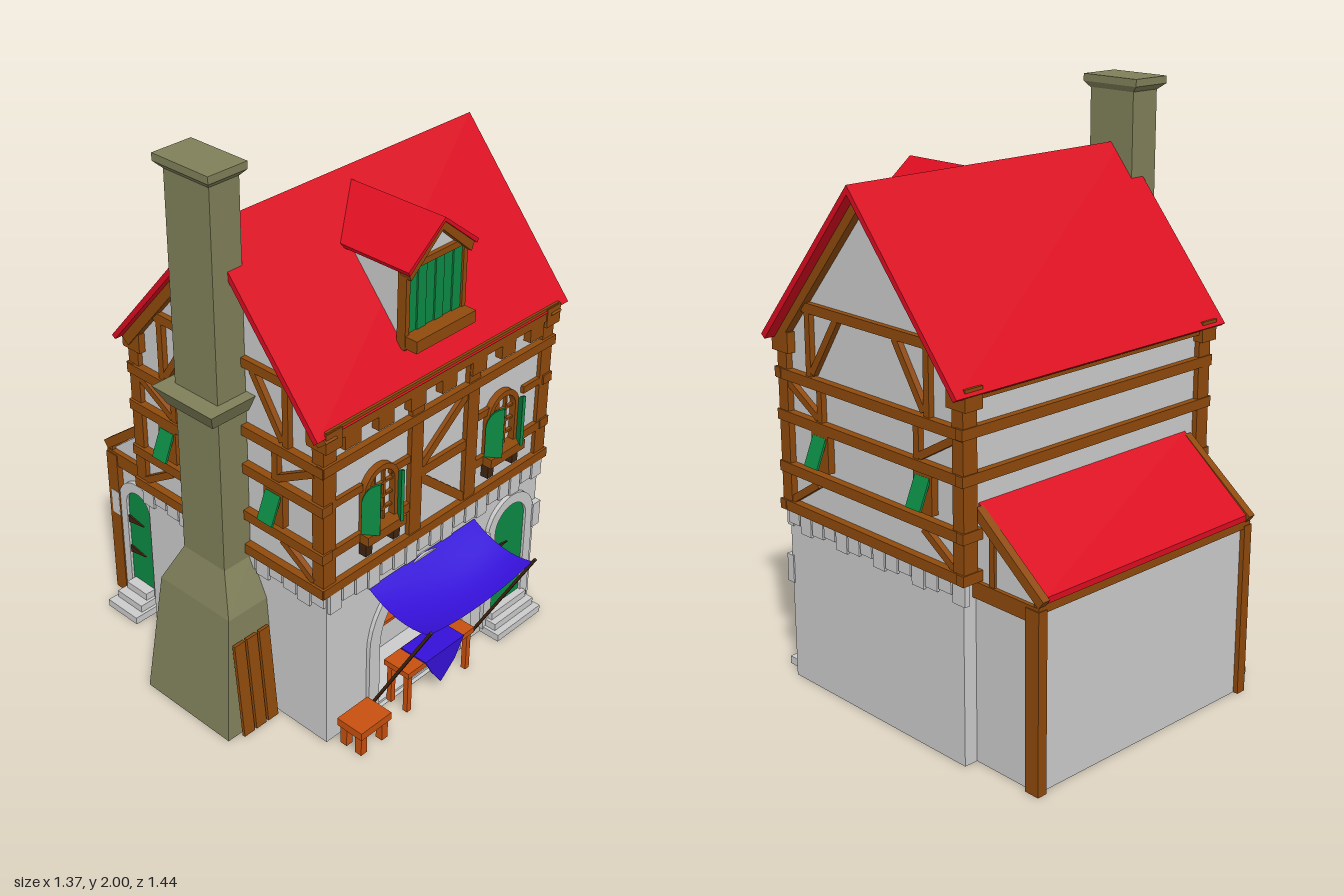
import * as THREE from 'three';

const mat = (color) => new THREE.MeshStandardMaterial({ color, side: THREE.DoubleSide });
const GREY = mat(0xcccccc), WOOD = mat(0x8f4a0c), RED = mat(0xdc0c20), GREEN = mat(0x0c8a44),
  BLUE = mat(0x3510d8), OLIVE = mat(0x80805a), ORANGE = mat(0xc8500f), DARK = mat(0x3f2410);

function add(parent, name, geo, material) {
  const m = new THREE.Mesh(geo, material);
  m.name = name;
  parent.add(m);
  return m;
}

// Box given by its min and max on each axis
function box(parent, name, material, x0, x1, y0, y1, z0, z1) {
  const m = add(parent, name, new THREE.BoxGeometry(x1 - x0, y1 - y0, z1 - z0), material);
  m.position.set((x0 + x1) / 2, (y0 + y1) / 2, (z0 + z1) / 2);
  return m;
}

// Square beam from a to b, with thickness t along the normal n
function beam(parent, name, material, a, b, w, t, n) {
  const A = new THREE.Vector3(...a), B = new THREE.Vector3(...b), N = new THREE.Vector3(...n);
  const dir = B.clone().sub(A), len = dir.length();
  dir.normalize();
  const m = add(parent, name, new THREE.BoxGeometry(w, len, t), material);
  m.quaternion.setFromRotationMatrix(new THREE.Matrix4().makeBasis(dir.clone().cross(N), dir, N));
  m.position.copy(A.add(B).multiplyScalar(0.5));
  return m;
}

const poly = (pts) => new THREE.Shape(pts.map((p) => new THREE.Vector2(...p)));
const extrude = (shape, z0, z1) => new THREE.ExtrudeGeometry(shape,
  { depth: z1 - z0, bevelEnabled: false, curveSegments: 10 }).translate(0, 0, z0);
// Profile drawn in (z, y), swept along x
const sweepX = (pts, x0, x1) => extrude(poly(pts), 0, x1 - x0).rotateY(-Math.PI / 2).translate(x1, 0, 0);

// Round-topped opening outline
function arch(hw, y0, spring, cx = 0, T = THREE.Shape) {
  const s = new T();
  s.moveTo(cx - hw, y0).lineTo(cx + hw, y0).lineTo(cx + hw, spring);
  s.absarc(cx, spring, hw, 0, Math.PI, false);
  s.lineTo(cx - hw, y0);
  return s;
}
function archRing(outer, inner, y0, spring, z0, z1) {
  const s = arch(outer, y0, spring);
  s.holes.push(arch(inner, y0 + 0.001, spring, 0, THREE.Path));
  return extrude(s, z0, z1);
}

// Rectangular cross-sections [y, x0, x1, z0, z1] joined upwards
function loft(levels) {
  const v = [], rings = levels.map(([y, x0, x1, z0, z1]) => [[x0, y, z1], [x1, y, z1], [x1, y, z0], [x0, y, z0]]);
  const quad = (a, b, c, d) => v.push(...a, ...b, ...c, ...a, ...c, ...d);
  for (let i = 0; i + 1 < rings.length; i++)
    for (let k = 0; k < 4; k++) {
      const n = (k + 1) % 4;
      quad(rings[i][k], rings[i][n], rings[i + 1][n], rings[i + 1][k]);
    }
  quad(...rings.at(-1));
  quad(...rings[0].slice().reverse());
  const g = new THREE.BufferGeometry();
  g.setAttribute('position', new THREE.Float32BufferAttribute(v, 3));
  g.computeVertexNormals();
  return g;
}

// Arched door with stone surround, hinges and steps, facing +z
function door(hw, spring, stepHalf, stepDepth) {
  const g = new THREE.Group();
  add(g, 'doorLeaf', extrude(arch(hw, 0.08, spring), -0.01, 0.006), GREEN);
  add(g, 'doorSurround', archRing(hw + 0.04, hw, 0.02, spring, -0.01, 0.016), GREY);
  for (const s of [-1, 1]) {
    const e = s * (hw + 0.035), o = s * (hw + 0.075);
    box(g, 'surroundBlock', GREY, Math.min(e, o), Math.max(e, o), 0.35, 0.45, -0.01, 0.022);
  }
  for (const y of [0.215, 0.35])
    add(g, 'hinge', extrude(poly([[-hw, y - 0.015], [-hw + 0.08, y], [-hw, y + 0.015]]), 0.004, 0.012), DARK);
  for (let i = 0; i < 3; i++)
    box(g, 'doorStep', GREY, -stepHalf + i * 0.012, stepHalf - i * 0.012, i * 0.028, (i + 1) * 0.028, -0.01, stepDepth * (1 - i * 0.3));
  return g;
}

function frontWindow() {
  const g = new THREE.Group();
  add(g, 'windowFrame', archRing(0.08, 0.06, 0.78, 0.93, -0.01, 0.022), WOOD);
  for (const x of [-0.022, 0.022]) box(g, 'windowBar', WOOD, x - 0.004, x + 0.004, 0.78, 0.98, 0, 0.012);
  for (const y of [0.83, 0.88, 0.93]) box(g, 'windowBar', WOOD, -0.06, 0.06, y - 0.004, y + 0.004, 0, 0.012);
  box(g, 'windowSill', WOOD, -0.09, 0.09, 0.755, 0.79, -0.01, 0.05);
  for (const s of [-1, 1]) {
    const half = new THREE.Group();
    half.scale.x = s;
    box(half, 'sillBracket', DARK, 0.05, 0.08, 0.70, 0.755, 0, 0.03);
    const sh = new THREE.Shape().moveTo(0, 0.79).lineTo(0.06, 0.79).lineTo(0.06, 0.985).quadraticCurveTo(0.01, 0.97, 0, 0.91);
    const leaf = add(half, 'windowShutter', extrude(sh, 0, 0.01), GREEN);
    leaf.position.set(-0.082, 0, 0.012);
    leaf.rotation.y = -0.95;
    g.add(half);
  }
  return g;
}

export function createModel() {
  const house = new THREE.Group();
  house.name = 'timberHouse';

  // Ground floor with an arched stall recess
  box(house, 'groundFloorCore', GREY, -0.46, 0.61, 0, 0.63, -0.42, 0.25);
  const front = poly([[-0.46, 0], [-0.22, 0], [-0.22, 0.24], [-0.005, 0.455], [0.21, 0.24], [0.21, 0], [0.61, 0], [0.61, 0.63], [-0.46, 0.63]]);
  const wall = new THREE.Shape().moveTo(-0.46, 0).lineTo(-0.22, 0).lineTo(-0.22, 0.24);
  wall.absarc(-0.005, 0.24, 0.215, Math.PI, 0, true);
  wall.lineTo(0.21, 0).lineTo(0.61, 0).lineTo(0.61, 0.63).lineTo(-0.46, 0.63);
  add(house, 'frontStoneWall', extrude(wall, 0.25, 0.44), GREY);
  add(house, 'stallArch', archRing(0.265, 0.215, 0, 0.28, 0.43, 0.455), GREY).position.x = -0.005;
  box(house, 'stallFloor', GREY, -0.22, 0.21, 0, 0.01, 0.25, 0.44);

  // Irregular course of stones under the timber floor
  const course = (n, place) => {
    for (let i = 0; i < n; i++) place(i / n + 0.004, (i + 1) / n - 0.004, 0.56 + 0.012 * ((i * 5) % 3 - 1));
  };
  course(18, (a, b, y) => box(house, 'courseStone', GREY, -0.46 + a * 1.08, -0.46 + b * 1.08, y, 0.625, 0.42, 0.452));
  for (const x of [-0.46, 0.61])
    course(14, (a, b, y) => box(house, 'courseStone', GREY, x - 0.01, x + 0.01, y, 0.625, -0.44 + a * 0.88, -0.44 + b * 0.88));

  // Upper floor and gables
  add(house, 'upperWalls', sweepX([[0.43, 0.62], [0.43, 1.24], [0, 1.75], [-0.43, 1.24], [-0.43, 0.62]], -0.46, 0.61), GREY);
  add(house, 'mainRoof', sweepX([[0.462, 1.235], [0, 1.78], [-0.475, 1.225], [-0.46, 1.215], [0, 1.75], [0.446, 1.22]], -0.52, 0.68), RED);

  // Corner posts and long rails
  for (const x of [-0.45, 0.605]) for (const z of [-0.425, 0.42]) {
    box(house, 'cornerPost', WOOD, x - 0.028, x + 0.028, 0.625, 1.2, z - 0.024, z + 0.024);
    box(house, 'eaveBlock', WOOD, x - 0.035, x + 0.035, 1.175, 1.245, z - 0.042, z + 0.042);
  }
  const rail = (y, z) => box(house, 'longRail', WOOD, -0.485, 0.64, y, y + 0.035, z - 0.015, z + 0.015);
  for (const y of [0.625, 1.085]) rail(y, 0.438);
  for (const y of [0.625, 0.76, 0.94, 1.085, 1.2]) rail(y, -0.438);
  box(house, 'eaveBeam', WOOD, -0.48, 0.635, 1.2, 1.25, 0.4, 0.458);
  for (let i = 0; i < 7; i++) {
    const x = -0.363 + i * 0.148;
    box(house, 'eaveBracket', WOOD, x - 0.035, x + 0.035, 1.15, 1.205, 0.42, 0.458);
  }

  // Front framing
  for (const x of [-0.055, 0.22]) box(house, 'frontPost', WOOD, x - 0.028, x + 0.028, 0.65, 1.2, 0.42, 0.448);
  for (const [a, b] of [[-0.45, -0.055], [0.22, 0.605]]) {
    box(house, 'frontRail', WOOD, a, b, 0.757, 0.79, 0.42, 0.446);
    for (const [c, d] of [[a, (a + b) / 2 - 0.05], [(a + b) / 2 + 0.08, b]])
      box(house, 'frontRail', WOOD, c, d, 0.945, 0.972, 0.42, 0.444);
  }
  box(house, 'frontRail', WOOD, -0.055, 0.22, 0.865, 0.9, 0.42, 0.446);
  for (const [y, e] of [[0.895, 1.085], [0.87, 0.665]])
    beam(house, 'frontBrace', WOOD, [-0.04, y, 0.435], [0.2, e, 0.435], 0.03, 0.02, [0, 0, 1]);
  for (const x of [-0.225, 0.378]) {
    const w = frontWindow();
    w.name = 'frontWindow';
    w.position.set(x, 0, 0.432);
    house.add(w);
  }

  // Gable framing, the same on both ends
  for (const s of [-1, 1]) {
    const x = s > 0 ? 0.615 : -0.465, n = [s, 0, 0];
    const tie = (name, z0, y0, z1, y1, w = 0.033, t = 0.03) => beam(house, name, WOOD, [x, y0, z0], [x, y1, z1], w, t, n);
    for (const y of [0.642, 0.777, 0.957, 1.1]) tie('gableRail', -0.45, y, 0.45, y, 0.036, 0.045);
    tie('collarBeam', -0.31, 1.343, 0.31, 1.343);
    for (const m of [-1, 1]) {
      tie('gableRafter', m * 0.45, 1.205, 0, 1.735, 0.045, 0.05);
      tie('gablePost', m * 0.285, 1.1, m * 0.285, 1.34, 0.025);
      tie('gableBrace', m * 0.27, 1.13, m * 0.14, 1.33, 0.025);
      tie('wallPost', m * 0.235, 0.97, m * 0.235, 1.09, 0.025);
      tie('wallBrace', m * 0.4, 1.075, m * 0.245, 0.985, 0.025);
      tie('wallBrace', m * 0.4, 0.665, m * 0.26, 0.755, 0.025);
    }
    // Small windows with propped hatches
    for (const z of [0.232, -0.268]) {
      box(house, 'sideWindowFrame', WOOD, x - 0.02, x + 0.02, 0.81, 0.94, z - 0.042, z + 0.042);
      beam(house, 'sideHatch', GREEN, [x + s * 0.018, 0.928, z], [x + s * 0.058, 0.832, z], 0.066, 0.008, [0, 0, 1])
        .geometry = new THREE.BoxGeometry(0.008, 0.104, 0.066);
    }
  }

  // Dormer
  const dx = 0.073;
  const chevron = (hw, peak, eave, t, z0, z1) => extrude(poly([[dx - hw, eave], [dx - hw + t * 0.4, eave - t], [dx, peak - t], [dx + hw - t * 0.4, eave - t], [dx + hw, eave], [dx, peak]]), z0, z1);
  add(house, 'dormerBody', extrude(poly([[-0.055, 1.28], [0.2, 1.28], [0.2, 1.62], [dx, 1.725], [-0.055, 1.62]]), 0.08, 0.38), GREY);
  add(house, 'dormerRoof', chevron(0.162, 1.745, 1.617, 0.014, 0.01, 0.42), RED);
  add(house, 'dormerGableTrim', chevron(0.152, 1.731, 1.608, 0.03, 0.37, 0.412), WOOD);
  box(house, 'dormerLintel', WOOD, -0.06, 0.205, 1.6, 1.622, 0.37, 0.395);
  box(house, 'dormerSill', WOOD, -0.067, 0.213, 1.337, 1.38, 0.36, 0.442);
  for (const x of [-0.06, 0.206]) box(house, 'dormerPost', WOOD, x - 0.009, x + 0.009, 1.33, 1.61, 0.36, 0.395);
  for (let i = 0; i < 6; i++)
    box(house, 'dormerShutterPlank', GREEN, -0.05 + i * 0.041, -0.011 + i * 0.041, 1.38, 1.602, 0.37, 0.386 + (i % 2) * 0.004);

  // Rear lean-to
  add(house, 'leanToBody', sweepX([[-0.4, 0], [-0.4, 0.85], [-0.69, 0.62], [-0.69, 0]], -0.385, 0.56), GREY);
  add(house, 'leanToRoof', sweepX([[-0.43, 0.85], [-0.43, 0.868], [-0.708, 0.648], [-0.708, 0.628]], -0.385, 0.555), RED);
  box(house, 'leanToBackBeam', WOOD, -0.4, 0.57, 0.6, 0.635, -0.705, -0.68);
  for (const x of [-0.39, 0.56]) {
    box(house, 'leanToPost', WOOD, x - 0.018, x + 0.018, 0, 0.61, -0.708, -0.652);
    box(house, 'leanToBeam', WOOD, x - 0.014, x + 0.014, 0.565, 0.62, -0.705, -0.42);
    beam(house, 'leanToRafter', WOOD, [x, 0.848, -0.43], [x, 0.632, -0.712], 0.034, 0.028, [1, 0, 0]);
    beam(house, 'leanToStrut', WOOD, [x, 0.6, -0.5], [x, 0.78, -0.5], 0.022, 0.018, [1, 0, 0]);
  }

  // Doors
  const frontDoor = door(0.085, 0.425, 0.12, 0.085);
  frontDoor.name = 'frontDoor';
  frontDoor.position.set(0.455, 0, 0.44);
  const backDoor = door(0.062, 0.425, 0.078, 0.12);
  backDoor.name = 'sideDoor';
  backDoor.position.set(-0.387, 0, -0.557);
  backDoor.rotation.y = -Math.PI / 2;
  house.add(frontDoor, backDoor);

  // Chimney
  add(house, 'chimneyStack', loft([[0, -0.685, -0.45, -0.2, 0.203], [0.46, -0.63, -0.45, -0.165, 0.165], [0.6, -0.58, -0.463, -0.097, 0.097], [1.97, -0.58, -0.463, -0.097, 0.097]]), OLIVE);
  add(house, 'chimneyCollar', loft([[1.165, -0.61, -0.46, -0.105, 0.105], [1.23, -0.643, -0.46, -0.137, 0.137]]), OLIVE);
  add(house, 'chimneyCap', loft([[1.955, -0.582, -0.461, -0.098, 0.098], [1.975, -0.6, -0.448, -0.122, 0.117], [2, -0.6, -0.448, -0.122, 0.117]]), OLIVE);

  // Planks leaning on the chimney
  for (let i = 0; i < 3; i++)
    beam(house, 'leaningPlank', WOOD, [-0.613 + i * 0.055, 0.005, 0.225], [-0.613 + i * 0.055, 0.372, 0.19], 0.046, 0.012, [0, 0.095, 0.9955]);

  // Awning with sagging cloth and poles
  const cloth = new THREE.PlaneGeometry(2, 1, 12, 8), p = cloth.attributes.position;
  for (let i = 0; i < p.count; i++) {
    const u = p.getX(i), v = p.getY(i) + 0.5, mid = 1 - u * u;
    p.setXYZ(i, -0.005 + u * 0.265, 0.545 - 0.17 * v + 0.125 * v * v - 0.045 * mid * v, 0.445 + v * (0.257 - 0.012 * mid));
  }
  cloth.computeVertexNormals();
  add(house, 'awningCloth', cloth, BLUE);
  for (const x of [-0.268, 0.258]) beam(house, 'awningPole', DARK, [x, 0.06, 0.465], [x, 0.515, 0.713], 0.01, 0.01, [1, 0, 0]);

  // Stall shelves, table and stool
  for (const y of [0.205, 0.325]) {
    box(house, 'stallShelf', ORANGE, -0.15, 0.165, y - 0.006, y + 0.006, 0.25, 0.33);
    for (const x of [-0.14, 0.155]) box(house, 'shelfBracket', DARK, x - 0.008, x + 0.008, y - 0.025, y, 0.25, 0.32);
  }
  const bench = (name, x0, x1, z0, z1, h, t, leg) => {
    box(house, name + 'Top', ORANGE, x0, x1, h - t, h, z0, z1);
    for (const x of [x0 + 0.008, x1 - 0.008 - leg]) for (const z of [z0 + 0.008, z1 - 0.008 - leg])
      box(house, name + 'Leg', ORANGE, x, x + leg, 0, h - t, z, z + leg);
  };
  bench('table', -0.175, 0.167, 0.435, 0.545, 0.18, 0.022, 0.02);
  bench('stool', -0.435, -0.29, 0.465, 0.575, 0.107, 0.03, 0.028);
  box(house, 'tableCloth', BLUE, -0.095, 0.105, 0.18, 0.185, 0.44, 0.548);
  add(house, 'tableClothCorner', extrude(poly([[-0.095, 0.185], [-0.06, 0.12], [-0.01, 0.05], [0.06, 0.11], [0.105, 0.185]]), 0.546, 0.551), BLUE);
  return house;
}
